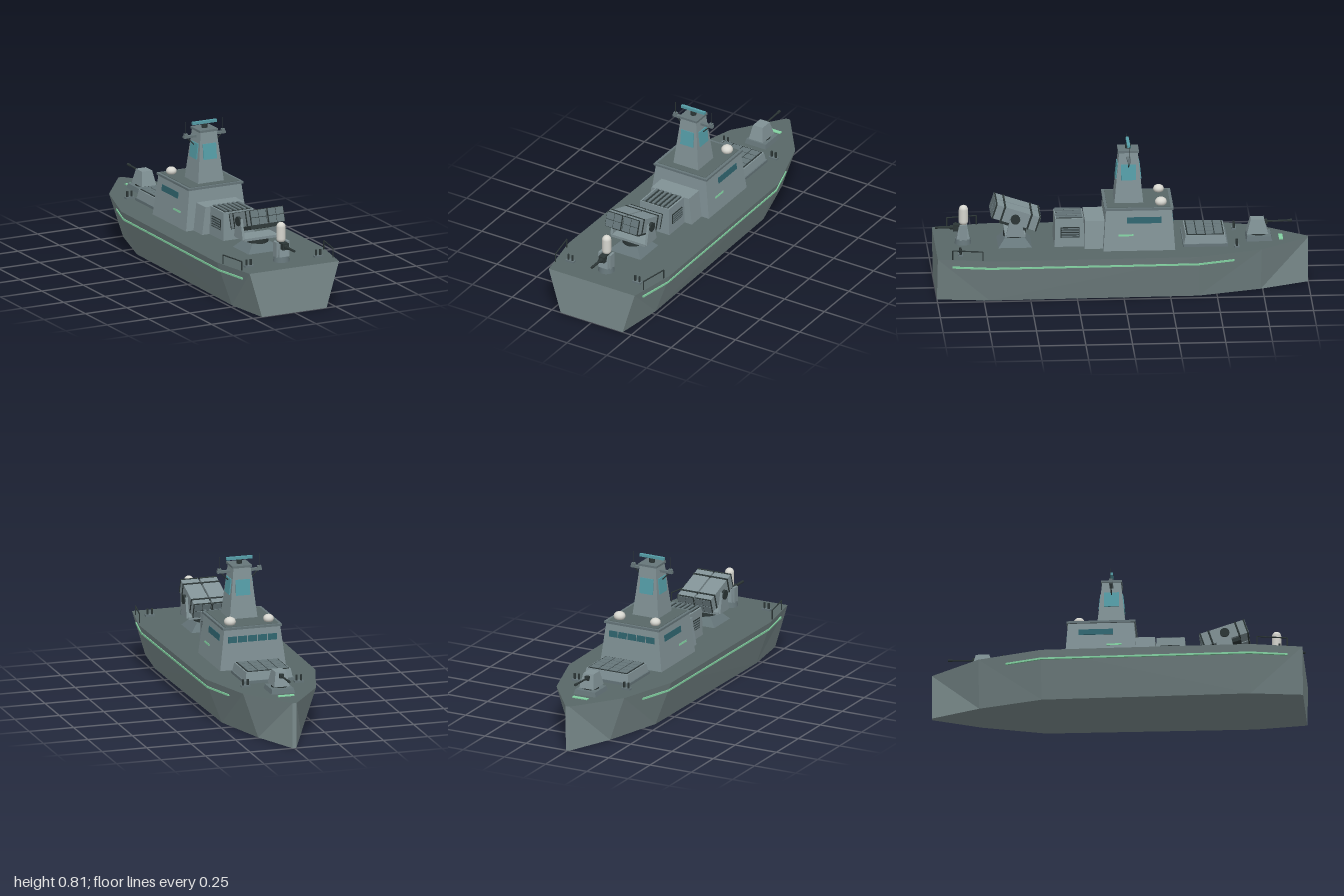
import * as THREE from 'three';

const mat = (name, color) => {
  const m = new THREE.MeshStandardMaterial({ color });
  m.name = name;
  return m;
};

export function createModel() {
  const hullGrey = mat('hull grey', 0x7b8c8d), deckGrey = mat('deck grey', 0x596868);
  const upper = mat('upperworks grey', 0x819296), trim = mat('trim grey', 0x66767a);
  const dark = mat('dark metal', 0x2c3636), teal = mat('radar teal', 0x559ea8);
  const glass = mat('window glass', 0x2f646e), green = mat('marker green', 0x83d2a2);
  const white = mat('dome white', 0xd6d6cf);
  const ship = new THREE.Group();
  ship.name = 'patrolShip';

  const add = (name, geo, m, x = 0, y = 0, z = 0, parent = ship) => {
    const mesh = new THREE.Mesh(geo, m);
    mesh.name = name;
    mesh.position.set(x, y, z);
    parent.add(mesh);
    return mesh;
  };
  const group = (name, x = 0, y = 0, z = 0, parent = ship) => {
    const g = new THREE.Group();
    g.name = name;
    g.position.set(x, y, z);
    parent.add(g);
    return g;
  };
  const box = (w, h, d) => new THREE.BoxGeometry(w, h, d);
  const cyl = (r0, r1, h, n = 12) => new THREE.CylinderGeometry(r1, r0, h, n);
  // Tapered block standing on y = 0
  const taper = (w0, d0, w1, d1, h) => {
    const g = box(1, h, 1).translate(0, h / 2, 0), p = g.attributes.position;
    for (let i = 0; i < p.count; i++) {
      const top = p.getY(i) > h / 2;
      p.setX(i, p.getX(i) * (top ? w1 : w0));
      p.setZ(i, p.getZ(i) * (top ? d1 : d0));
    }
    g.computeVertexNormals();
    return g;
  };
  // Round or flat bar between two points
  const rod = (name, a, b, r, m, parent = ship) => {
    const A = new THREE.Vector3(...a), d = new THREE.Vector3(...b).sub(A);
    const mesh = add(name, cyl(r, r, d.length(), 8), m, 0, 0, 0, parent);
    mesh.position.copy(A).addScaledVector(d, 0.5);
    mesh.quaternion.setFromUnitVectors(new THREE.Vector3(0, 1, 0), d.normalize());
    return mesh;
  };

  // Hull sections from stern to bow: z, deck half width, keel half width
  const H = 0.25;
  const secs = [[1, 0.27, 0.195], [0.72, 0.32, 0.23], [-0.4, 0.31, 0.215], [-0.74, 0.205, 0.12], [-1, 0.012, 0.01]];
  const sheet = (name, quads, m) => {
    const v = [];
    for (const [a, b, c, d] of quads) v.push(...a, ...b, ...c, ...a, ...c, ...d);
    const g = new THREE.BufferGeometry();
    g.setAttribute('position', new THREE.Float32BufferAttribute(v, 3));
    g.computeVertexNormals();
    add(name, g, m);
  };
  const top = (s, k) => [k * s[1], H, s[0]], bot = (s, k) => [k * s[2], 0, s[0]];
  const shell = [], deck = [];
  for (let i = 0; i < secs.length - 1; i++) {
    const a = secs[i], b = secs[i + 1];
    for (const k of [1, -1]) {
      let q = [bot(a, k), bot(b, k), top(b, k), top(a, k)];
      if (i === 0) q = [q[1], q[2], q[3], q[0]];
      shell.push(k > 0 ? q : [q[2], q[1], q[0], q[3]]);
    }
    shell.push([bot(b, -1), bot(b, 1), bot(a, 1), bot(a, -1)]);
    deck.push([top(a, -1), top(a, 1), top(b, 1), top(b, -1)]);
  }
  const stern = secs[0], bow = secs[4];
  shell.push([bot(stern, -1), bot(stern, 1), top(stern, 1), top(stern, -1)]);
  shell.push([bot(bow, 1), bot(bow, -1), top(bow, -1), top(bow, 1)]);
  sheet('hull', shell, hullGrey);
  sheet('deck', deck, deckGrey);

  // Half width of the hull at a given z and height
  const hullX = (z, y) => {
    const i = Math.max(0, secs.findIndex((s, n) => n < 4 && z <= s[0] && z >= secs[n + 1][0]));
    const [a, b] = [secs[i], secs[i + 1]], t = (a[0] - z) / (a[0] - b[0]);
    const w = n => a[n] + (b[n] - a[n]) * t;
    return w(2) + (w(1) - w(2)) * y / H;
  };

  for (const k of [1, -1]) {
    // Marker strips along the hull
    const zs = [0.92, 0.72, -0.4, -0.59];
    for (let i = 0; i < 3; i++) {
      const x0 = hullX(zs[i], 0.205), x1 = hullX(zs[i + 1], 0.205), dz = zs[i] - zs[i + 1];
      const s = add('hullStrip', box(0.009, 0.01, Math.hypot(dz, x0 - x1)), green, k * ((x0 + x1) / 2 + 0.002), 0.205, (zs[i] + zs[i + 1]) / 2);
      s.rotation.y = k * Math.atan2(x0 - x1, dz);
    }
    // Stern guard rails
    const p = [0.76, 0.92].map(z => [k * (hullX(z, H) - 0.008), z]);
    for (const [x, z] of p) rod('railPost', [x, H, z], [x, 0.3, z], 0.0035, dark);
    rod('railBar', [p[0][0], 0.3, p[0][1]], [p[1][0], 0.3, p[1][1]], 0.0035, dark);
    // Mooring bollards
    for (const [x, z] of [[0.15, -0.61], [0.21, 0.875]]) {
      add('bollardBase', box(0.05, 0.01, 0.025), trim, k * x, H + 0.005, z);
      for (const o of [-0.013, 0.013]) add('bollardPost', cyl(0.006, 0.006, 0.032), dark, k * x + o, H + 0.025, z);
    }
  }
  add('bowMarker', box(0.09, 0.005, 0.022), green, 0, H + 0.0025, -0.853);

  // Bridge block
  const bridge = group('bridge', 0, H, -0.085);
  add('bridgeBody', taper(0.37, 0.385, 0.315, 0.355, 0.22), upper, 0, 0, 0, bridge);
  add('bridgeRoof', box(0.332, 0.012, 0.37), trim, 0, 0.226, 0, bridge);
  add('roofDeck', box(0.3, 0.003, 0.34), deckGrey, 0, 0.233, 0, bridge);
  for (const k of [1, -1]) {
    const hx = y => k * (0.185 - 0.0275 * y / 0.22);
    add('sideWindow', box(0.006, 0.034, 0.185), glass, hx(0.165), 0.165, -0.028, bridge).rotation.z = k * 0.125;
    add('sideMarker', box(0.006, 0.01, 0.08), green, hx(0.085), 0.085, 0.07, bridge).rotation.z = k * 0.125;
  }
  for (let i = 0; i < 5; i++)
    add('bowWindow', box(0.05, 0.034, 0.006), glass, (i - 2) * 0.056, 0.165, -0.1813, bridge).rotation.x = 0.068;
  // Satellite domes
  for (const [x, r] of [[-0.11, 0.029], [0.107, 0.032]]) {
    add('domeNeck', cyl(0.016, 0.016, 0.014), trim, x, 0.238, -0.12, bridge);
    add('dome', new THREE.SphereGeometry(r, 16, 10), white, x, 0.25, -0.12, bridge).scale.y = 0.8;
  }

  // Mast with four flat radar panels
  const mast = group('mast', 0, 0.48, -0.035);
  add('mastTower', taper(0.156, 0.156, 0.096, 0.1, 0.28), upper, 0, 0, 0, mast);
  add('mastCap', box(0.11, 0.012, 0.112), trim, 0, 0.284, 0, mast);
  for (let i = 0; i < 4; i++) {
    const face = group('panelMount', 0, 0, 0, mast);
    face.rotation.y = i * Math.PI / 2;
    add('radarPanel', box(0.08, 0.086, 0.008), teal, 0, 0.172, 0.0615, face).rotation.x = -0.105;
  }
  add('radarPedestal', cyl(0.016, 0.016, 0.024), dark, 0, 0.3, 0, mast);
  add('radarBar', box(0.146, 0.015, 0.016), teal, 0, 0.32, 0, mast);
  add('yardArm', box(0.25, 0.013, 0.02), trim, 0, 0.25, 0, mast);
  for (const k of [1, -1]) {
    rod('yardBrace', [k * 0.105, 0.245, 0], [k * 0.055, 0.195, 0], 0.003, dark, mast);
    add('whipFoot', box(0.02, 0.012, 0.018), trim, k * 0.112, 0.262, 0, mast);
    rod('whipAntenna', [k * 0.112, 0.262, 0], [k * 0.112, 0.332, 0], 0.0022, dark, mast);
  }

  // Engine housing with louvres
  add('housingFront', taper(0.28, 0.12, 0.235, 0.11, 0.15), upper, 0, H, 0.147);
  add('housingRear', taper(0.19, 0.16, 0.18, 0.152, 0.155), upper, 0, H, 0.284);
  add('topGrille', box(0.16, 0.004, 0.14), dark, 0, 0.406, 0.284);
  for (let i = 0; i < 6; i++) add('topLouvre', box(0.013, 0.008, 0.14), trim, -0.07 + i * 0.028, 0.409, 0.284);
  for (const k of [1, -1]) {
    add('sideGrille', box(0.008, 0.058, 0.1), dark, k * 0.091, 0.33, 0.281);
    for (let i = 0; i < 4; i++) add('sideLouvre', box(0.008, 0.007, 0.094), trim, k * 0.094, 0.31 + i * 0.0135, 0.281);
  }

  // Vertical launch cells
  add('cellBase', box(0.28, 0.015, 0.24), trim, 0, H + 0.0075, -0.443);
  add('cellBlock', taper(0.265, 0.23, 0.25, 0.212, 0.045), upper, 0, 0.265, -0.443);
  add('cellGrid', box(0.235, 0.004, 0.2), dark, 0, 0.311, -0.443);
  for (let i = 0; i < 4; i++) for (let j = 0; j < 4; j++)
    add('cellHatch', box(0.052, 0.005, 0.043), trim, (i - 1.5) * 0.057, 0.3125, -0.443 + (j - 1.5) * 0.048);

  // Bow gun
  const gun = group('bowGun', 0, H, -0.735);
  add('gunBase', taper(0.132, 0.14, 0.12, 0.128, 0.025), trim, 0, 0, 0, gun);
  add('gunRing', cyl(0.045, 0.045, 0.01, 16), dark, 0, 0.029, 0, gun);
  add('gunTurret', taper(0.088, 0.115, 0.06, 0.072, 0.078), upper, 0, 0.033, 0.008, gun);
  add('gunMantlet', box(0.024, 0.024, 0.02), dark, 0, 0.09, -0.036, gun);
  rod('gunBarrel', [0, 0.09, -0.03], [0, 0.094, -0.175], 0.005, dark, gun);
  rod('gunMuzzle', [0, 0.0935, -0.155], [0, 0.094, -0.178], 0.0075, dark, gun);

  // Twin missile launcher
  const launcher = group('missileLauncher', 0, H, 0.575);
  add('launcherBase', taper(0.2, 0.18, 0.12, 0.11, 0.042), trim, 0, 0, 0, launcher);
  add('launcherRing', cyl(0.06, 0.06, 0.024, 16), dark, 0, 0.052, 0, launcher);
  add('launcherTable', box(0.215, 0.014, 0.11), upper, 0, 0.071, 0, launcher);
  for (const k of [1, -1]) {
    add('launcherArm', taper(0.014, 0.1, 0.014, 0.05, 0.11), upper, k * 0.108, 0.071, 0, launcher);
    add('launcherPivot', cyl(0.026, 0.026, 0.014, 16), dark, k * 0.114, 0.165, 0, launcher).rotation.z = Math.PI / 2;
  }
  const pods = group('launcherPods', 0, 0.17, -0.005, launcher);
  pods.rotation.x = -0.32;
  add('podCradle', box(0.165, 0.02, 0.15), dark, 0, -0.05, 0, pods);
  add('podSpine', box(0.012, 0.05, 0.22), dark, 0, 0, 0, pods);
  for (const k of [1, -1]) {
    const x = k * 0.0525;
    add('pod', box(0.095, 0.08, 0.25), upper, x, 0, 0, pods);
    for (const z of [-0.075, 0.075]) add('podBand', box(0.1, 0.086, 0.01), dark, x, 0, z, pods);
    for (const e of [1, -1]) {
      add('podFrame', box(0.097, 0.084, 0.008), dark, x, 0, e * 0.122, pods);
      for (const i of [-1, 1]) for (const j of [-1, 1])
        add('podCover', box(0.044, 0.038, 0.006), trim, x + i * 0.0235, j * 0.0205, e * 0.1255, pods);
    }
  }

  // Stern close-in gun with white radar dome
  const ciws = group('sternGun', 0, H, 0.85);
  add('sternGunBase', cyl(0.045, 0.04, 0.03, 16), trim, 0, 0.015, 0, ciws);
  add('sternGunBody', taper(0.06, 0.07, 0.045, 0.045, 0.07), upper, 0, 0.03, 0, ciws);
  for (const k of [1, -1]) add('sternGunArm', box(0.014, 0.085, 0.04), upper, k * 0.032, 0.068, 0, ciws);
  add('sternGunBreech', box(0.036, 0.036, 0.065), dark, 0, 0.09, 0.02, ciws);
  rod('sternGunBarrel', [0, 0.09, 0.03], [0, 0.09, 0.15], 0.007, dark, ciws);
  rod('sternGunClamp', [0, 0.09, 0.05], [0, 0.09, 0.07], 0.012, dark, ciws);
  add('sternGunDome', new THREE.CapsuleGeometry(0.025, 0.065, 8, 16), white, 0, 0.157, -0.003, ciws);

  return ship;
}
